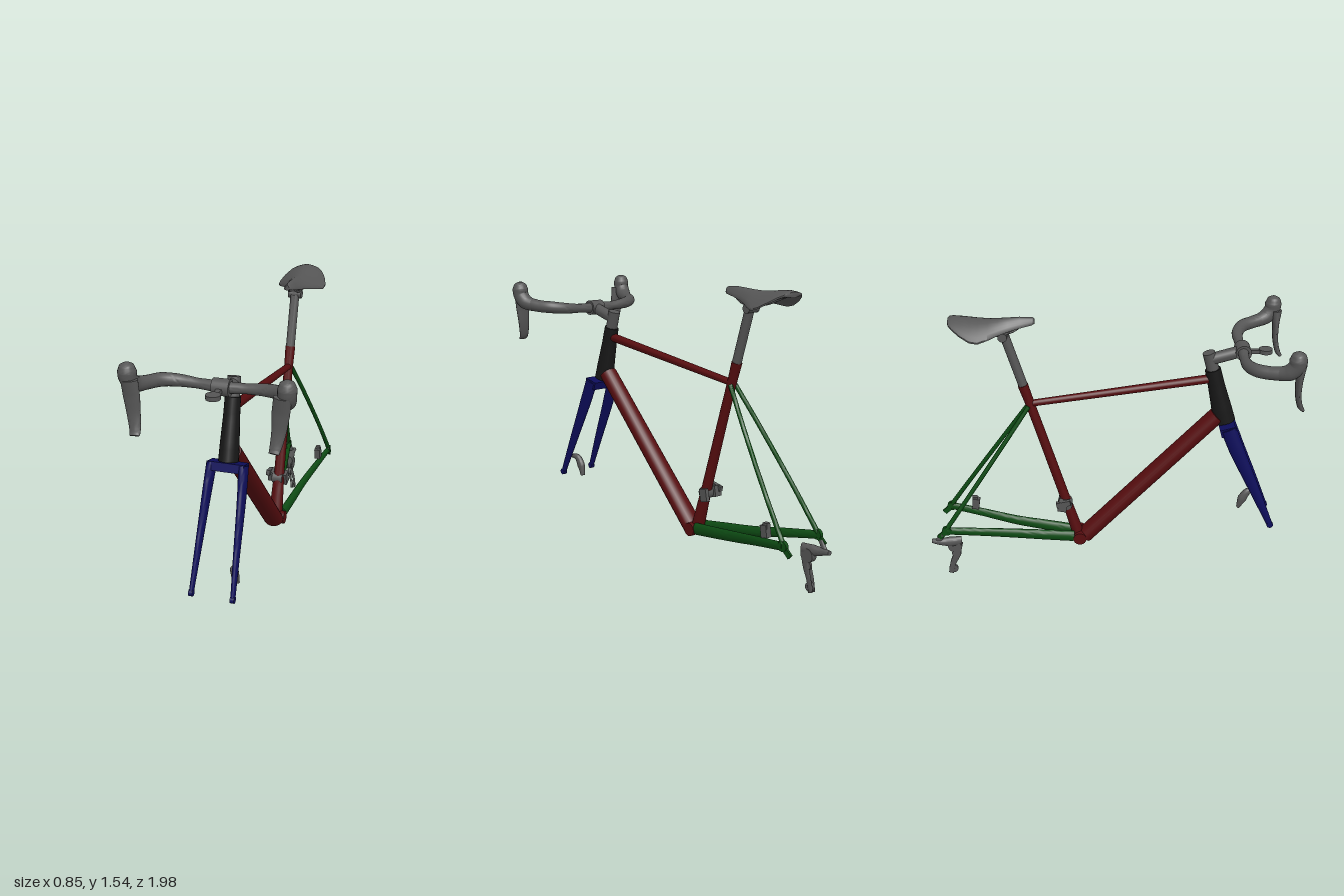
import * as THREE from 'three';
import { toCreasedNormals } from 'three/addons/utils/BufferGeometryUtils.js';

const paint = (name, color) => {
  const m = new THREE.MeshStandardMaterial({ color });
  m.name = name;
  return m;
};

// Skin a list of closed rings and cap both ends
function skin(rings) {
  const n = rings[0].length, pos = [], idx = [];
  rings.forEach(r => r.forEach(p => pos.push(p.x, p.y, p.z)));
  for (let i = 0; i < rings.length - 1; i++) {
    for (let j = 0; j < n; j++) {
      const k = (j + 1) % n, a = i * n + j, b = i * n + k;
      idx.push(a, b, b + n, a, b + n, a + n);
    }
  }
  [0, rings.length - 1].forEach(i => {
    const c = new THREE.Vector3();
    rings[i].forEach(p => c.addScaledVector(p, 1 / n));
    const ci = pos.length / 3;
    pos.push(c.x, c.y, c.z);
    for (let j = 0; j < n; j++) {
      const a = i * n + j, b = i * n + (j + 1) % n;
      if (i) idx.push(ci, a, b); else idx.push(ci, b, a);
    }
  });
  const g = new THREE.BufferGeometry();
  g.setAttribute('position', new THREE.Float32BufferAttribute(pos, 3));
  g.setIndex(idx);
  return toCreasedNormals(g, 0.8);
}

// Oval tube through stations [x, y, z, radius along ref, other radius]
function oval(stations, ref = [1, 0, 0], sides = 20) {
  const curve = new THREE.CatmullRomCurve3(stations.map(s => new THREE.Vector3(s[0], s[1], s[2])));
  const last = stations.length - 1, steps = last === 1 ? 1 : last * 6, rings = [];
  const at = (f, k) => {
    const i = Math.min(Math.floor(f), last - 1);
    const value = s => s[k] ?? s[3];
    return THREE.MathUtils.lerp(value(stations[i]), value(stations[i + 1]), f - i);
  };
  for (let i = 0; i <= steps; i++) {
    const t = i / steps, c = curve.getPoint(t), T = curve.getTangent(t);
    const U = new THREE.Vector3(...ref);
    U.addScaledVector(T, -U.dot(T)).normalize();
    const V = new THREE.Vector3().crossVectors(T, U);
    const a = at(t * last, 3), b = at(t * last, 4), ring = [];
    for (let j = 0; j < sides; j++) {
      const q = j / sides * Math.PI * 2;
      ring.push(c.clone().addScaledVector(U, a * Math.cos(q)).addScaledVector(V, b * Math.sin(q)));
    }
    rings.push(ring);
  }
  return skin(rings);
}

// Domed shell; stations are [z, half width, top height, edge height]
function saddleShell(stations) {
  const rings = stations.map(([z, w, top, edge]) => {
    const ring = [], n = 12;
    const y = s => top - (top - edge) * Math.pow(Math.abs(s), 1.7);
    for (let i = 0; i <= n; i++) {
      const s = 1 - 2 * i / n;
      ring.push(new THREE.Vector3(w * s, y(s) - 0.008 - 0.022 * (1 - s * s), z));
    }
    for (let i = 0; i <= n; i++) {
      const s = -1 + 2 * i / n;
      ring.push(new THREE.Vector3(w * s, y(s), z));
    }
    return ring;
  });
  return skin(rings);
}

export function createModel() {
  const red = paint('dark red', 0x560d0f), green = paint('dark green', 0x0d4a13);
  const blue = paint('dark blue', 0x0d0d5a), black = paint('black', 0x171717);
  const grey = paint('grey', 0x555555);
  const model = new THREE.Group();
  model.name = 'bicycleFrame';

  const add = (name, geo, mat, pos = [0, 0, 0], rot = [0, 0, 0]) => {
    const m = new THREE.Mesh(geo, mat);
    m.name = name;
    m.position.set(...pos);
    m.rotation.set(...rot);
    model.add(m);
    return m;
  };
  const box = (name, size, mat, pos, rot) => add(name, new THREE.BoxGeometry(...size), mat, pos, rot);
  // Cylinder lying across the bicycle
  const axle = (name, r, len, mat, pos) =>
    add(name, new THREE.CylinderGeometry(r, r, len, 24), mat, pos, [0, 0, Math.PI / 2]);
  const flip = (s, list) => list.map(([x, ...rest]) => [x * s, ...rest]);
  const headTilt = -0.27;

  // Main triangle
  add('headTube', oval([[0, 0.925, 0.642, 0.05, 0.058], [0, 1.0, 0.622, 0.048, 0.055],
    [0, 1.14, 0.586, 0.041, 0.045], [0, 1.235, 0.562, 0.039, 0.042]]), black);
  add('topTube', oval([[0, 1.178, 0.55, 0.026, 0.024], [0, 1.04, -0.41, 0.02, 0.018]]), red);
  add('downTube', oval([[0, 0.96, 0.6, 0.052, 0.046], [0, 0.19, -0.125, 0.058, 0.046]]), red);
  add('seatTube', oval([[0, 0.2, -0.165, 0.04, 0.033], [0, 0.45, -0.238, 0.03, 0.027],
    [0, 1.03, -0.41, 0.025, 0.025], [0, 1.15, -0.447, 0.028, 0.028]]), red);
  axle('bottomBracket', 0.037, 0.12, red, [0, 0.192, -0.155]);

  // Fork
  box('forkCrown', [0.19, 0.045, 0.085], blue, [0, 0.9, 0.655], [headTilt, 0, 0]);
  for (const s of [1, -1]) {
    add('forkLeg', oval(flip(s, [[0.082, 0.915, 0.655, 0.024, 0.043], [0.09, 0.78, 0.71, 0.021, 0.041],
      [0.1, 0.52, 0.828, 0.016, 0.028], [0.108, 0.32, 0.917, 0.012, 0.017]])), blue);
    axle('forkDropout', 0.018, 0.022, blue, [0.108 * s, 0.315, 0.92]);

    // Rear triangle
    add('seatStay', oval(flip(s, [[0.018, 1.03, -0.42, 0.012], [0.058, 0.83, -0.555, 0.012],
      [0.108, 0.52, -0.765, 0.012], [0.132, 0.32, -0.9, 0.013]])), green);
    add('chainStay', oval(flip(s, [[0.035, 0.2, -0.19, 0.022, 0.034], [0.05, 0.22, -0.34, 0.021, 0.032],
      [0.068, 0.245, -0.52, 0.018, 0.029], [0.102, 0.28, -0.72, 0.016, 0.025],
      [0.132, 0.308, -0.9, 0.013, 0.022]])), green);
    axle('rearDropout', 0.027, 0.02, green, [0.132 * s, 0.31, -0.9]);
    box('dropoutTab', [0.012, 0.03, 0.06], green, [0.132 * s, 0.285, -0.925], [-0.75, 0, 0]);

    // Half of the handlebar with its hood and lever
    add('handlebar', oval(flip(s, [[0, 1.34, 0.715, 0.03], [0.12, 1.343, 0.708, 0.025],
      [0.22, 1.35, 0.715, 0.031], [0.29, 1.358, 0.75, 0.034], [0.33, 1.363, 0.81, 0.034],
      [0.36, 1.375, 0.88, 0.036]]), [0, 1, 0]), grey);
    add('hood', oval(flip(s, [[0.343, 1.365, 0.84, 0.034], [0.368, 1.385, 0.895, 0.042],
      [0.377, 1.425, 0.925, 0.043], [0.378, 1.455, 0.928, 0.045],
      [0.378, 1.485, 0.928, 0.033], [0.378, 1.497, 0.928, 0.012]])), grey);
    add('brakeLever', oval(flip(s, [[0.362, 1.42, 0.945, 0.042, 0.03], [0.354, 1.34, 0.946, 0.042, 0.018],
      [0.346, 1.25, 0.95, 0.034, 0.015], [0.336, 1.18, 0.968, 0.027, 0.014],
      [0.334, 1.162, 0.982, 0.025, 0.009]])), grey);
  }

  // Stem and forward mount
  add('steererSpacer', oval([[0, 1.225, 0.565, 0.033], [0, 1.33, 0.536, 0.033]]), grey);
  add('stem', oval([[0, 1.29, 0.545, 0.032], [0, 1.34, 0.72, 0.032]]), grey);
  axle('barClamp', 0.042, 0.085, grey, [0, 1.34, 0.715]);
  box('frontMount', [0.028, 0.02, 0.1], grey, [0, 1.335, 0.78]);
  add('mountPlate', new THREE.CylinderGeometry(0.036, 0.036, 0.022, 24), grey, [0, 1.338, 0.835]);

  // Seat post and saddle
  add('seatPost', oval([[0, 1.14, -0.443, 0.025], [0, 1.43, -0.53, 0.025]]), grey);
  axle('saddleClamp', 0.024, 0.075, grey, [0, 1.435, -0.54]);
  box('clampHead', [0.04, 0.04, 0.06], grey, [0, 1.455, -0.55]);
  for (const s of [1, -1]) {
    add('saddleRail', oval(flip(s, [[0.012, 1.5, -0.43, 0.006], [0.025, 1.46, -0.5, 0.006],
      [0.03, 1.455, -0.6, 0.006], [0.04, 1.505, -0.74, 0.006]]), [1, 0, 0], 8), grey);
  }
  add('saddle', saddleShell([
    [-0.373, 0.012, 1.53, 1.515], [-0.385, 0.024, 1.536, 1.508], [-0.45, 0.035, 1.538, 1.495],
    [-0.51, 0.052, 1.534, 1.482], [-0.56, 0.078, 1.53, 1.472], [-0.61, 0.11, 1.528, 1.46],
    [-0.66, 0.133, 1.53, 1.45], [-0.7, 0.136, 1.534, 1.459], [-0.75, 0.118, 1.539, 1.485],
    [-0.79, 0.09, 1.541, 1.51], [-0.81, 0.065, 1.539, 1.522], [-0.816, 0.04, 1.535, 1.525],
  ]), grey);

  // Front derailleur
  axle('derailleurBand', 0.034, 0.06, grey, [-0.005, 0.41, -0.23]);
  box('derailleurBody', [0.045, 0.06, 0.05], grey, [-0.045, 0.415, -0.25], [0.2, 0, 0]);
  box('derailleurArm', [0.022, 0.03, 0.08], grey, [-0.06, 0.435, -0.245], [-0.2, 0, 0]);
  box('derailleurBracket', [0.022, 0.07, 0.05], grey, [0.035, 0.405, -0.25], [0.2, 0, 0]);

  // Brake calipers on the left side
  add('frontCaliper', oval([[0.09, 0.425, 0.855, 0.012, 0.01], [0.078, 0.42, 0.815, 0.018, 0.02],
    [0.075, 0.375, 0.785, 0.02, 0.027], [0.078, 0.315, 0.765, 0.014, 0.01]]), grey);
  box('rearCaliper', [0.035, 0.065, 0.04], grey, [0.1, 0.345, -0.755], [0.15, 0, 0]);
  box('rearCaliperCap', [0.025, 0.03, 0.028], grey, [0.1, 0.375, -0.76]);

  // Rear derailleur on the right side
  add('rearHanger', oval([[-0.13, 0.285, -0.925, 0.009, 0.014], [-0.125, 0.235, -0.955, 0.01, 0.018]]), grey);
  add('rearLinkage', oval([[-0.12, 0.235, -0.99, 0.014, 0.012], [-0.122, 0.23, -0.945, 0.018, 0.02],
    [-0.115, 0.225, -0.89, 0.022, 0.03], [-0.105, 0.225, -0.825, 0.018, 0.028]]), grey);
  axle('rearKnuckle', 0.038, 0.035, grey, [-0.108, 0.195, -0.865]);
  for (const x of [-0.118, -0.096]) {
    add('cagePlate', oval([[x, 0.21, -0.84, 0.003, 0.02], [x, 0.13, -0.86, 0.003, 0.02],
      [x + 0.005, 0.07, -0.885, 0.003, 0.016], [x + 0.008, 0.005, -0.9, 0.003, 0.014]]), grey);
  }
  axle('upperPulley', 0.026, 0.014, grey, [-0.107, 0.14, -0.86]);
  axle('lowerPulley', 0.026, 0.014, grey, [-0.101, 0.03, -0.885]);

  return model;
}
